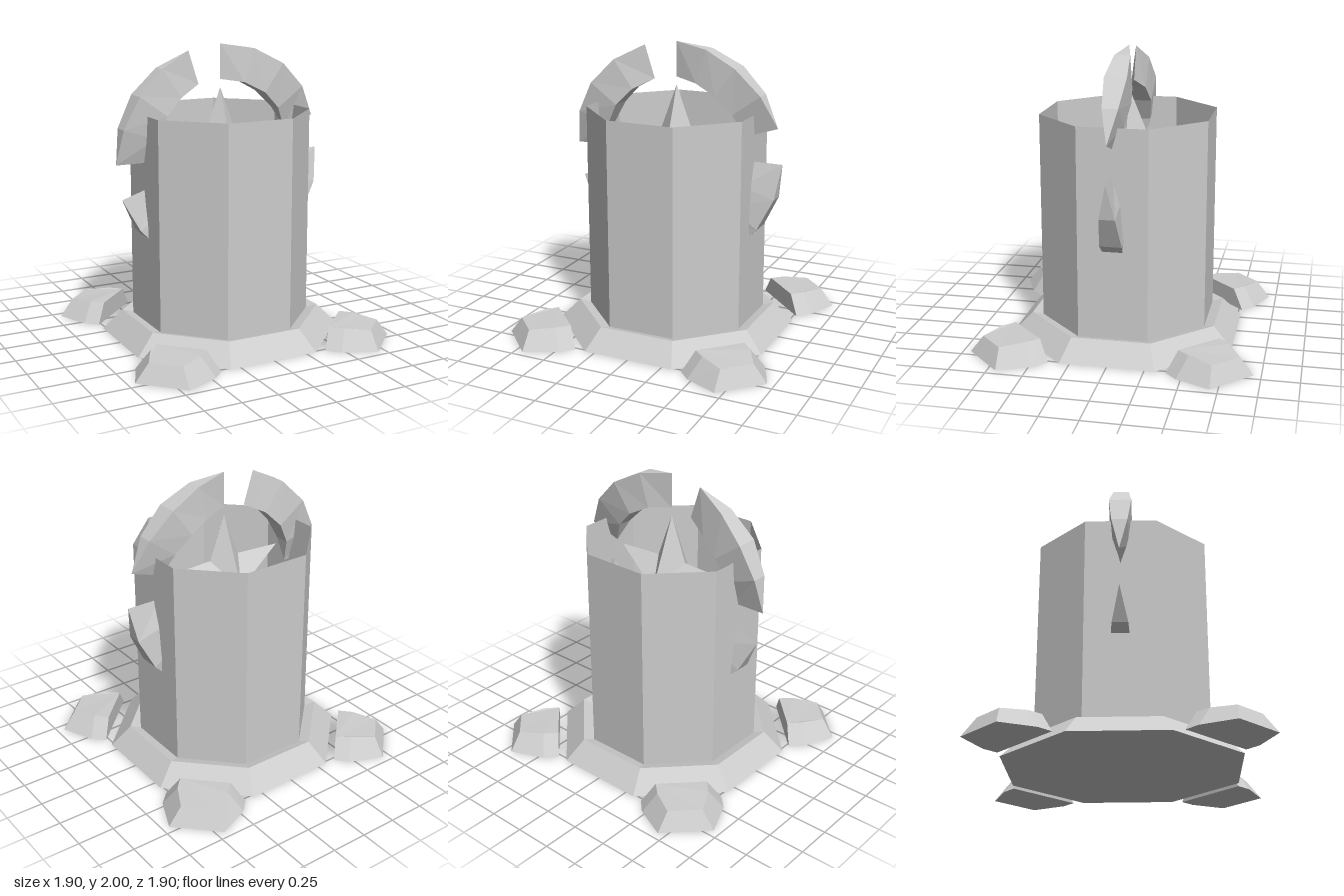
import * as THREE from 'three';

const stone = new THREE.MeshStandardMaterial({ color: 0xcccccc, flatShading: true, side: THREE.DoubleSide });
stone.name = 'pale grey';

const CENTRE_Y = 1.23;                 // shared centre of the broken ring and the star
const OCT = 1 / Math.cos(Math.PI / 8); // flat distance to corner radius of an octagon

function facetedMesh(name, positions, index) {
  let geo = new THREE.BufferGeometry();
  geo.setAttribute('position', new THREE.Float32BufferAttribute(positions.flat(), 3));
  geo.setIndex(index);
  geo = geo.toNonIndexed();
  geo.computeVertexNormals();
  const mesh = new THREE.Mesh(geo, stone);
  mesh.name = name;
  return mesh;
}

// Joins closed cross-sections, each counter-clockwise seen from the far end
function loft(name, sections, capped) {
  const n = sections[0].length, last = (sections.length - 1) * n, index = [];
  for (let i = 0; i < sections.length - 1; i++) {
    for (let j = 0; j < n; j++) {
      const a = i * n + j, b = i * n + (j + 1) % n;
      index.push(a, b, b + n, a, b + n, a + n);
    }
  }
  if (capped) {
    for (let j = 1; j < n - 1; j++) {
      index.push(0, j + 1, j, last, last + j, last + j + 1);
    }
  }
  return facetedMesh(name, sections.flat(), index);
}

// Curved blade: a quarter of the broken ring, thick in the middle and sharp at both ends
function ringBlade(start) {
  const sections = [];
  for (let i = 0; i <= 4; i++) {
    const a = start - i * Math.PI / 10;
    const w = 0.075 * Math.sin(Math.PI * i / 4);
    const at = (r, z) => [r * Math.cos(a), CENTRE_Y + r * Math.sin(a), z];
    sections.push([at(0.53, w), at(0.53, -w), at(0.77, -w), at(0.77, w)]);
  }
  return loft('ringBlade', sections, false);
}

// Five-pointed star with raised centres on both faces
function star() {
  const points = [[0, CENTRE_Y, 0.195], [0, CENTRE_Y, -0.195]], index = [];
  for (let i = 0; i < 10; i++) {
    const a = Math.PI / 2 + i * Math.PI / 5, r = i % 2 ? 0.2 : 0.475;
    points.push([r * Math.cos(a), CENTRE_Y + r * Math.sin(a), 0]);
    const p = 2 + i, q = 2 + (i + 1) % 10;
    index.push(0, p, q, 1, q, p);
  }
  return facetedMesh('star', points, index);
}

// Bevelled foot stone, pointing along +z before it is turned
function footStone(angle) {
  const mirror = half => [...half, ...half.slice().reverse().map(([x, y, z]) => [-x, y, z])];
  const bottom = mirror([[-0.27, 0, 0.824], [-0.27, 0, 0.935], [-0.18, 0, 1.165]]);
  const top = mirror([[-0.17, 0.135, 0.824], [-0.167, 0.135, 0.93], [-0.113, 0.12, 1.1]]);
  const mesh = loft('footStone', [bottom, top], true);
  mesh.rotation.y = angle;
  return mesh;
}

export function createModel() {
  const model = new THREE.Group();
  model.name = 'shrine';

  // Octagonal base with a raised rim and a sunken floor
  const profile = [[0, 0], [0.77, 0], [0.64, 0.135], [0.57, 0.115], [0.52, 0.115], [0, 0.115]]
    .map(([r, y]) => new THREE.Vector2(r * OCT, y));
  const base = new THREE.Mesh(new THREE.LatheGeometry(profile, 8, Math.PI / 8), stone);
  base.name = 'base';
  model.add(base);

  // Open eight-sided wall
  const wall = new THREE.Mesh(
    new THREE.CylinderGeometry(0.57 * OCT, 0.57 * OCT, 1.435, 8, 1, true, Math.PI / 8), stone);
  wall.name = 'wall';
  wall.position.y = 0.115 + 1.435 / 2;
  model.add(wall);

  // Broken ring and corner stones, four of each
  const ring = new THREE.Group(), feet = new THREE.Group();
  ring.name = 'brokenRing';
  feet.name = 'footStones';
  for (let i = 0; i < 4; i++) {
    ring.add(ringBlade(i * Math.PI / 2));
    feet.add(footStone(Math.PI / 4 + i * Math.PI / 2));
  }
  model.add(ring, feet, star());
  return model;
}
